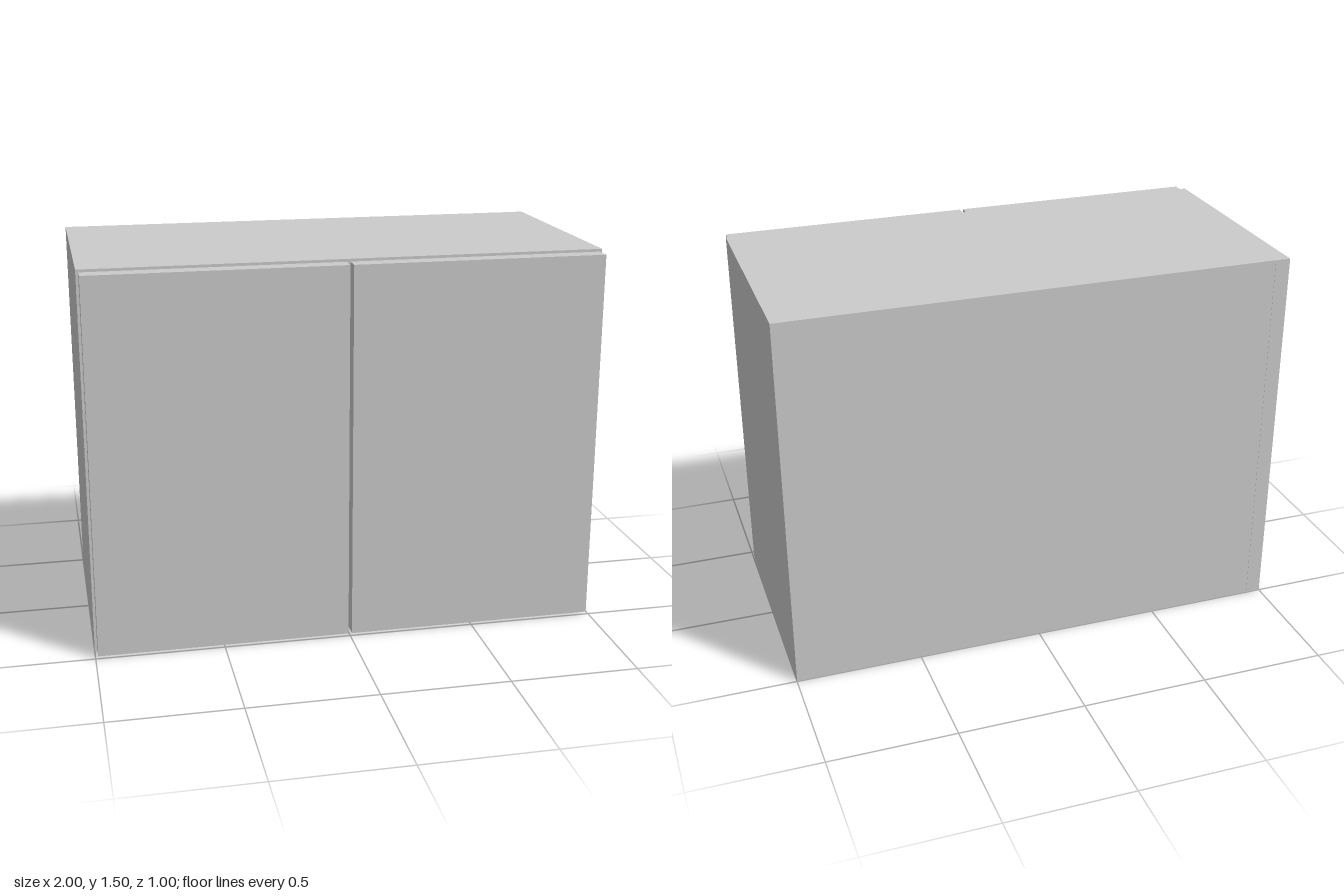
import * as THREE from 'three';

// Two-door cabinet: carcass panels, a middle shelf, a thin back and two overlay doors.
export function createModel() {
  const cabinet = new THREE.Group();
  cabinet.name = 'cabinet';
  const material = new THREE.MeshStandardMaterial({ color: 0xcccccc });

  const W = 2, H = 1.5, T = 0.06;      // outer width, height, panel thickness
  const back = -0.5, front = 0.432;    // carcass depth range
  const inner = W / 2 - T;             // inside face of the side panels

  // Box given by its minimum and maximum corners
  function panel(name, [x0, y0, z0], [x1, y1, z1]) {
    const mesh = new THREE.Mesh(new THREE.BoxGeometry(x1 - x0, y1 - y0, z1 - z0), material);
    mesh.position.set((x0 + x1) / 2, (y0 + y1) / 2, (z0 + z1) / 2);
    mesh.name = name;
    cabinet.add(mesh);
  }

  // Side panels and doors, mirrored
  for (const [side, s] of [['left', 1], ['right', -1]]) {
    const span = (a, b) => (s > 0 ? [a, b] : [-b, -a]);
    const [p0, p1] = span(inner, W / 2);
    panel(`${side}SidePanel`, [p0, 0, back], [p1, H, front]);
    const [d0, d1] = span(0.007, 0.99);
    panel(`${side}Door`, [d0, 0.01, 0.435], [d1, H - 0.01, 0.5]);
  }

  // Horizontal boards between the sides
  const boards = { bottomPanel: 0, shelf: (H - T) / 2, topPanel: H - T };
  for (const [name, y] of Object.entries(boards)) {
    panel(name, [-inner, y, back + 0.01], [inner, y + T, front]);
  }

  // Thin back panel between the sides
  panel('backPanel', [-inner, 0, back + 0.001], [inner, H, back + 0.01]);

  return cabinet;
}
